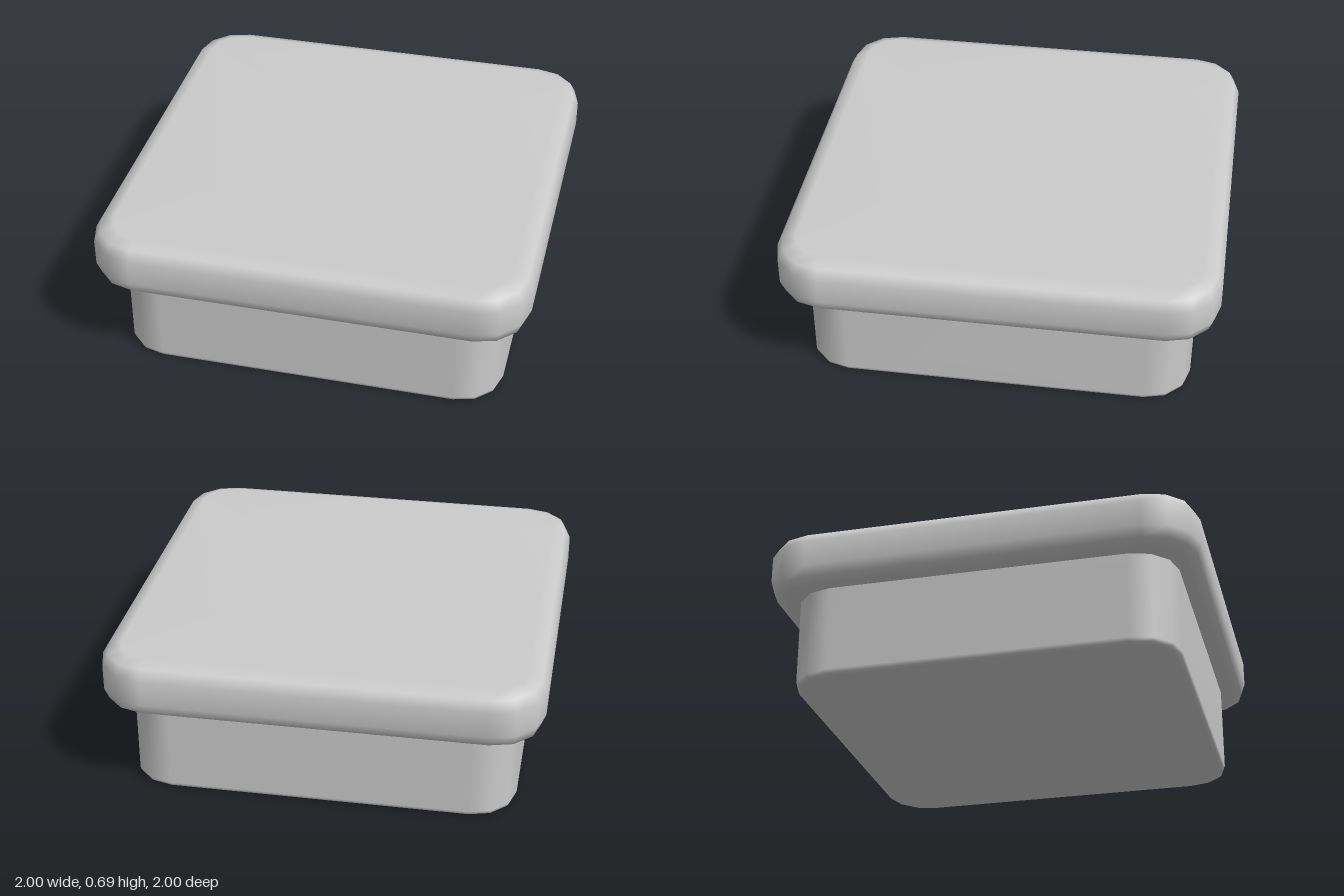
import * as THREE from 'three';

const CORNER_STEPS = 3;

// Rounded square outline at height y, shrunk by inset from the full half width
function ring(half, radius, inset, y) {
  const r = Math.max(0, radius - inset);
  const c = half - inset - r;
  const points = [];
  for (let q = 0; q < 4; q++) {
    const mid = (q + 0.5) * Math.PI / 2;
    for (let s = 0; s <= CORNER_STEPS; s++) {
      const a = (q + s / CORNER_STEPS) * Math.PI / 2;
      points.push(
        Math.sign(Math.cos(mid)) * c + r * Math.cos(a),
        y,
        Math.sign(Math.sin(mid)) * c + r * Math.sin(a)
      );
    }
  }
  return points;
}

// Skin stacked outlines; profile is [inset, y] from bottom to top
function roundedBlock(name, half, radius, profile, material) {
  const n = 4 * (CORNER_STEPS + 1);
  const positions = profile.flatMap(([inset, y]) => ring(half, radius, inset, y));
  const index = [];
  for (let i = 0; i < profile.length - 1; i++) {
    for (let j = 0; j < n; j++) {
      const k = (j + 1) % n;
      const a = i * n + j, b = i * n + k, c = a + n, d = b + n;
      // An outline shrunk to the centre closes the block with a fan
      if (profile[i + 1][0] < half) index.push(b, c, d);
      if (profile[i][0] < half) index.push(a, c, b);
    }
  }
  const geometry = new THREE.BufferGeometry();
  geometry.setAttribute('position', new THREE.Float32BufferAttribute(positions, 3));
  geometry.setIndex(index);
  geometry.computeVertexNormals();
  const mesh = new THREE.Mesh(geometry, material);
  mesh.name = name;
  return mesh;
}

export function createModel() {
  const material = new THREE.MeshStandardMaterial({ color: 0xcccccc });
  const group = new THREE.Group();
  group.name = 'squarePlug';

  // Narrower plug body with a fine bevel at the foot
  group.add(roundedBlock('plugBody', 0.885, 0.2, [
    [0.885, 0], [0.025, 0], [0.007, 0.008], [0, 0.025], [0, 0.45],
  ], material));

  // Wide cap with softly rounded rims
  group.add(roundedBlock('cap', 1, 0.23, [
    [1, 0.43], [0.07, 0.43], [0.02, 0.45], [0, 0.5],
    [0, 0.62], [0.027, 0.668], [0.09, 0.69], [1, 0.69],
  ], material));

  return group;
}
